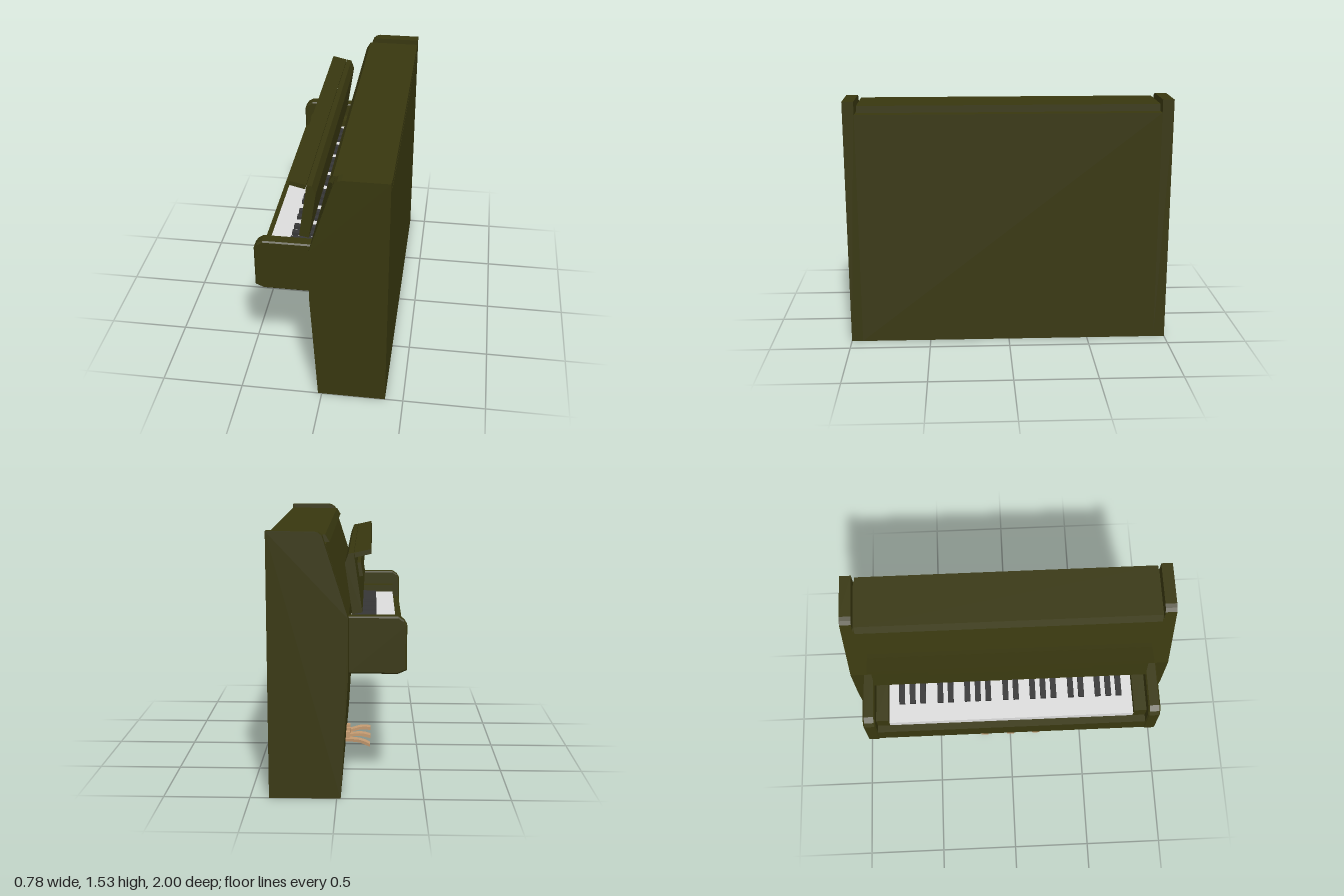
import * as THREE from 'three';

const mat = (name, color) => {
  const m = new THREE.MeshStandardMaterial({ color });
  m.name = name;
  return m;
};

export function createModel() {
  const group = new THREE.Group();
  group.name = 'uprightPiano';
  const wood = mat('dark olive wood', 0x38370f);
  const ivory = mat('white keys', 0xdcdcdc);
  const ebony = mat('black keys', 0x363636);
  const brass = mat('brass', 0xc49a70);

  const add = (name, geometry, material) => {
    const mesh = new THREE.Mesh(geometry, material);
    mesh.name = name;
    group.add(mesh);
    return mesh;
  };
  // Side profile (x, y) extruded across the width from z0 to z1
  const slab = (points, z0, z1, bevel = 0) => {
    const shape = new THREE.Shape(points.map(([x, y]) => new THREE.Vector2(x, y)));
    const g = new THREE.ExtrudeGeometry(shape, {
      depth: z1 - z0 - 2 * bevel, bevelEnabled: bevel > 0, bevelSize: bevel,
      bevelThickness: bevel, bevelOffset: -bevel, bevelSegments: 1,
    });
    return g.translate(0, 0, z0 + bevel);
  };
  const box = (x0, x1, y0, y1, z0, z1) => slab([[x0, y0], [x1, y0], [x1, y1], [x0, y1]], z0, z1);

  // Cabinet between the sides, with the lid just above it
  add('cabinet', slab([[-0.023, 0], [0.39, 0], [0.39, 1.455], [0.062, 1.455], [-0.065, 1.05], [-0.065, 0.72]], -0.93, 0.93), wood);
  add('lid', slab([[0.04, 1.467], [0.39, 1.467], [0.39, 1.51], [0.065, 1.51]], -0.915, 0.915), wood);

  const side = [[-0.023, 0], [0.39, 0], [0.39, 1.535], [0.125, 1.535], [0.1, 1.528], [0.08, 1.51], [-0.065, 1.05], [-0.065, 0.72]];
  const arm = [[-0.06, 0.72], [-0.06, 1.05], [-0.345, 1.05], [-0.378, 1.028], [-0.395, 1.0], [-0.395, 0.742], [-0.345, 0.72]];
  for (const s of [-1, 1]) {
    const span = (a, b) => (s > 0 ? [a, b] : [-b, -a]);
    add('sidePanel', slab(side, ...span(0.93, 1)), wood);
    add('keyboardArm', slab(arm, ...span(0.85, 0.925), 0.008), wood);
    add('cheekBlock', box(-0.345, -0.06, 0.85, 0.96, ...span(0.772, 0.852)), wood);
  }

  // Key bed and keys
  add('keyBed', slab([[-0.06, 0.72], [-0.06, 0.865], [-0.39, 0.865], [-0.39, 0.742], [-0.345, 0.72]], -0.855, 0.855), wood);
  add('whiteKeys', box(-0.345, -0.06, 0.86, 0.912, -0.772, 0.772), ivory);
  const blackKey = (z) => add('blackKey', box(-0.225, -0.07, 0.91, 0.932, z - 0.018, z + 0.018), ebony);
  for (let octave = 0; octave < 4; octave++) {
    const z = -0.69 + octave * 0.415;
    [0, 0.067, 0.133].forEach((d) => blackKey(z + d));
    if (octave < 3) [0.243, 0.309].forEach((d) => blackKey(z + d));
  }

  // Tilted music desk with its ledge and top flap
  add('musicDesk', slab([[-0.142, 1.06], [-0.085, 1.05], [-0.042, 1.34], [-0.062, 1.395], [-0.092, 1.4]], -0.85, 0.85), wood);
  add('musicLedge', slab([[-0.142, 1.217], [-0.11, 1.213], [-0.1, 1.295], [-0.128, 1.3]], -0.5, 0.5), wood);
  add('deskFlap', slab([[-0.192, 1.395], [-0.1, 1.373], [-0.094, 1.4], [-0.187, 1.421]], -0.85, 0.85), wood);

  // Three fanned pedals with upright posts
  const pedal = [[-0.015, 0.05], [-0.06, 0.058], [-0.12, 0.064], [-0.19, 0.048],
    [-0.19, 0.068], [-0.155, 0.078], [-0.12, 0.082], [-0.06, 0.076], [-0.015, 0.068]];
  for (const s of [-1, 0, 1]) {
    const shear = new THREE.Matrix4().set(1, 0, 0, 0, 0, 1, 0, 0, -s * 0.6, 0, 1, s * 0.07, 0, 0, 0, 1);
    add('pedal', slab(pedal, -0.025, 0.025).applyMatrix4(shear), brass);
    add('pedalPost', box(-0.055, -0.015, 0.06, 0.113, s * 0.085 - 0.015, s * 0.085 + 0.015), brass);
  }
  return group;
}
